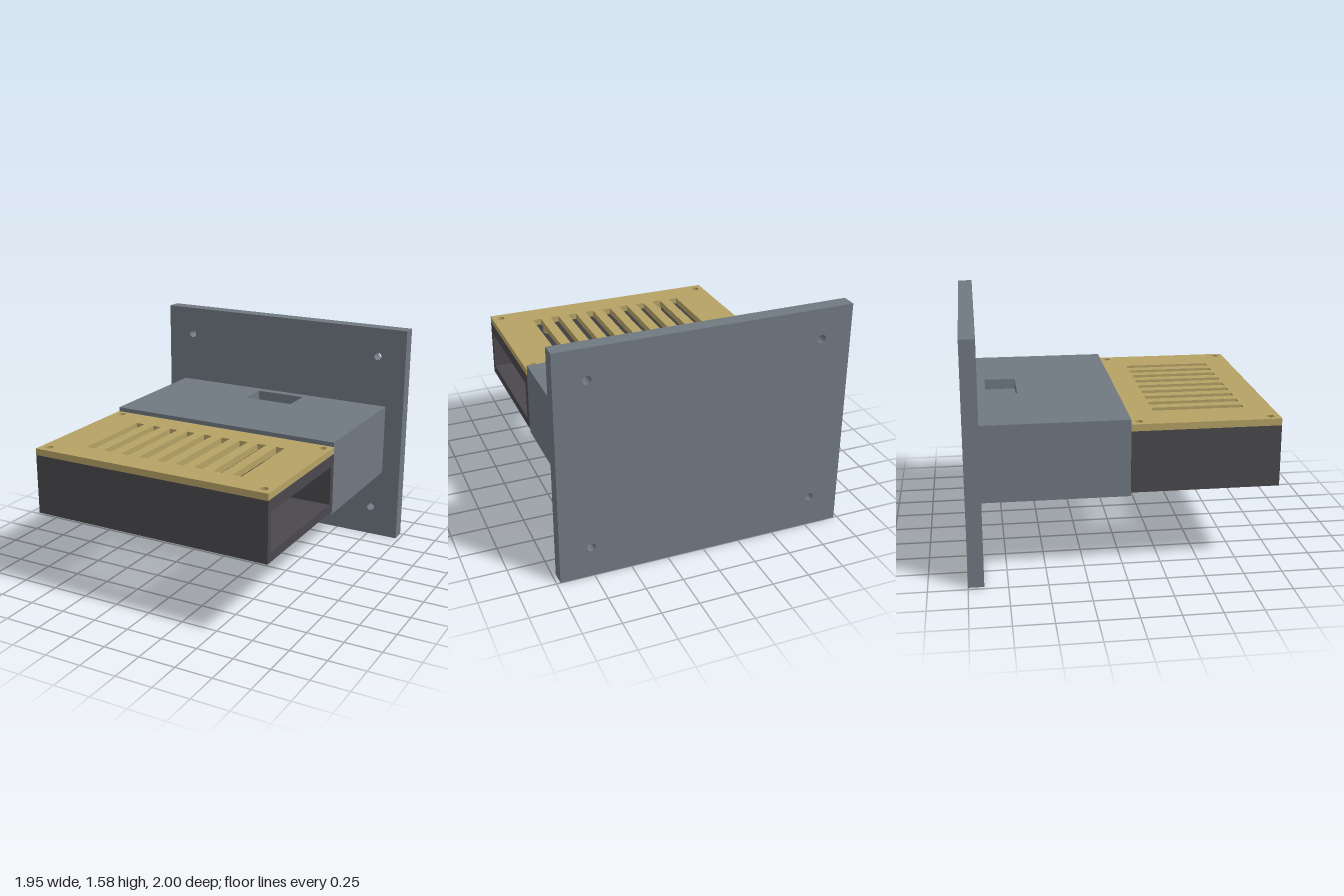
import * as THREE from 'three';

const slate = new THREE.MeshStandardMaterial({ name: 'slate grey', color: 0x707881 });
const gold = new THREE.MeshStandardMaterial({ name: 'brass', color: 0xb5a265 });
const dark = new THREE.MeshStandardMaterial({ name: 'charcoal', color: 0x4a484c });

// Rectangle outline, usable as a shape or a hole
const trace = (path, x0, x1, y0, y1) => {
  path.moveTo(x0, y0);
  path.lineTo(x1, y0);
  path.lineTo(x1, y1);
  path.lineTo(x0, y1);
  path.closePath();
  return path;
};
const rectHole = (x0, x1, y0, y1) => trace(new THREE.Path(), x0, x1, y0, y1);
const roundHole = (x, y, r) => new THREE.Path().absarc(x, y, r, 0, Math.PI * 2, true);

// Rectangular panel with holes, extruded along +z
function panel(x0, x1, y0, y1, depth, holes) {
  const shape = trace(new THREE.Shape(), x0, x1, y0, y1);
  shape.holes.push(...holes);
  return new THREE.ExtrudeGeometry(shape, { depth, bevelEnabled: false, curveSegments: 12 });
}

export function createModel() {
  const model = new THREE.Group();
  model.name = 'ventilatedWallBox';

  const add = (name, geometry, material, parent = model) => {
    const mesh = new THREE.Mesh(geometry, material);
    mesh.name = name;
    parent.add(mesh);
    return mesh;
  };
  const block = (name, material, parent, x0, x1, y0, y1, z0, z1) =>
    add(name, new THREE.BoxGeometry(x1 - x0, y1 - y0, z1 - z0), material, parent)
      .position.set((x0 + x1) / 2, (y0 + y1) / 2, (z0 + z1) / 2);
  // Horizontal panel: outline in x and z, rising from y0 to y1
  const slab = (x0, x1, z0, z1, y0, y1, holes) =>
    panel(x0, x1, -z1, -z0, y1 - y0, holes).rotateX(-Math.PI / 2).translate(0, y0, 0);

  // Wall plate with four bolt holes
  const bolts = [];
  for (const x of [-0.77, 0.765]) for (const y of [0.215, 1.375]) bolts.push(roundHole(x, y, 0.028));
  add('wallPlate', panel(-0.975, 0.975, 0, 1.58, 0.1, bolts).translate(0, 0, -1), slate);

  // Neck with a shallow pocket in its top
  const neck = new THREE.Group();
  neck.name = 'neck';
  model.add(neck);
  block('neckBody', slate, neck, -0.842, 0.842, 0.505, 0.94, -0.9, 0.04);
  add('neckTop', slab(-0.842, 0.842, -0.9, 0.04, 0.94, 1.01,
    [rectHole(-0.155, 0.21, 0.63, 0.84)]), slate, neck);

  // Open-topped housing: floor, closed walls and a windowed side
  const housing = new THREE.Group();
  housing.name = 'housing';
  model.add(housing);
  add('housingFloor', slab(-0.845, 0.845, 0.04, 1, 0.53, 0.59,
    [rectHole(-0.39, 0.39, -0.83, -0.2)]), dark, housing);
  block('frontWall', dark, housing, -0.845, 0.845, 0.59, 0.935, 0.96, 1);
  block('backWall', dark, housing, -0.845, 0.845, 0.59, 0.935, 0.04, 0.085);
  block('rightWall', dark, housing, -0.845, -0.805, 0.59, 0.935, 0.085, 0.96);
  add('windowWall', panel(-0.96, -0.085, 0.59, 0.935, 0.04,
    [rectHole(-0.9595, -0.0855, 0.5905, 0.855)])
    .rotateY(Math.PI / 2).translate(0.805, 0, 0), dark, housing);
  block('upperLug', dark, housing, -0.805, -0.72, 0.765, 0.855, 0.085, 0.19);
  block('lowerLug', dark, housing, -0.805, -0.72, 0.6, 0.735, 0.085, 0.19);

  // Screw bosses under the lid corners
  for (const s of [-1, 1]) for (const z of [0.1, 0.93]) {
    const x = s * 0.785;
    block('screwBoss', dark, housing, x - 0.045, x + 0.045, 0.86, 0.93, z - 0.05, z + 0.05);
  }

  // Slotted lid with screw holes
  const openings = [];
  for (let i = -4; i <= 4; i++) {
    const x = i * 0.1355;
    openings.push(rectHole(x - 0.031, x + 0.031, -0.82, -0.22));
  }
  for (const x of [-0.785, 0.785]) for (const z of [0.095, 0.937]) openings.push(roundHole(x, -z, 0.027));
  add('lid', slab(-0.845, 0.845, 0.04, 1, 0.935, 0.98, openings), gold);

  // Standoffs hanging from the lid
  for (const x of [-0.44, 0.44]) for (const z of [0.15, 0.895]) {
    add('standoff', new THREE.CylinderGeometry(0.038, 0.038, 0.1, 16), gold).position.set(x, 0.885, z);
  }
  return model;
}
